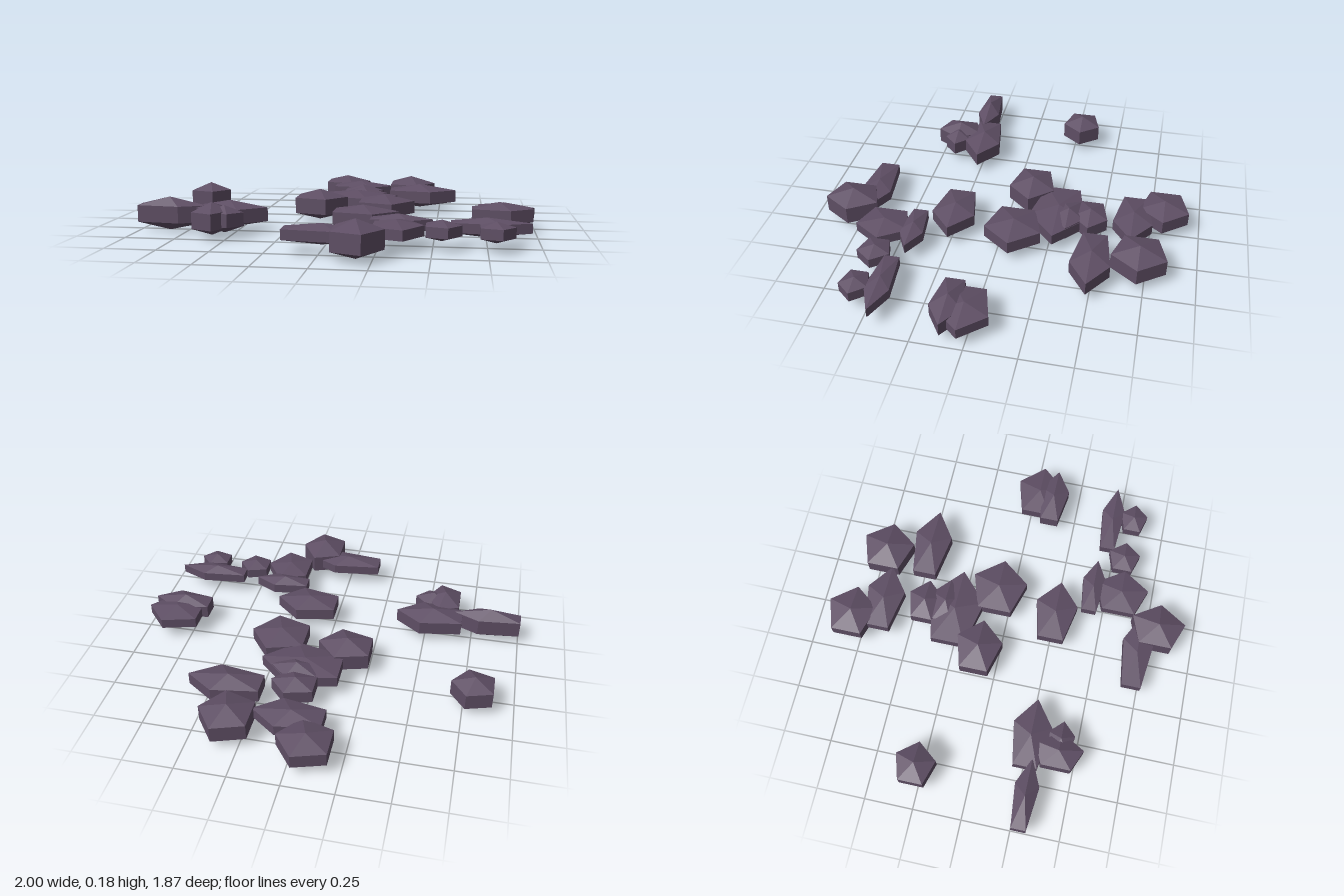
import * as THREE from 'three';

const stone = new THREE.MeshStandardMaterial({ color: 0x5e4e64, flatShading: true });
stone.name = 'duskyStone';

// Five-sided stone: two pentagon rings between shallow points, tip towards +x
const rockShape = new THREE.SphereGeometry(1, 5, 3);
rockShape.rotateY(Math.PI);

const MID_HEIGHT = 0.095;
const RING = Math.sin(Math.PI / 3); // ring radius of the unit stone
const BACK = Math.cos(Math.PI / 5); // centre to flat side
const SIDE = Math.sin(Math.PI * 2 / 5); // centre to widest corner

// flat side x, tip x, centre z, half width in z, half height
const ROCKS = [
  // back cluster
  [-0.19, 0.067, -0.81, 0.127, 0.068],
  [-0.126, 0.222, -0.66, 0.1, 0.055],
  [0.211, 0.468, -0.714, 0.136, 0.082],
  [0.222, 0.596, -0.487, 0.099, 0.066],
  // middle cluster
  [-0.035, 0.184, -0.441, 0.091, 0.065],
  [-0.131, 0.275, -0.275, 0.144, 0.056],
  [-0.024, 0.211, -0.332, 0.08, 0.066],
  [-0.254, 0.019, -0.107, 0.12, 0.082],
  [0.094, 0.382, -0.072, 0.144, 0.065],
  [0, 0.324, 0.251, 0.11, 0.06],
  // right-hand stones (-x)
  [-0.89, -0.682, -0.281, 0.102, 0.082],
  [-0.692, -0.34, 0.257, 0.099, 0.07],
  [-1, -0.645, 0.289, 0.061, 0.085],
  [-0.666, -0.487, 0.409, 0.123, 0.082],
  [-0.6, -0.425, 0.409, 0.068, 0.068],
  // left-hand pair (+x)
  [0.714, 0.997, 0.029, 0.123, 0.052],
  [0.682, 0.987, 0.11, 0.078, 0.066],
  // front cluster
  [0.2, 0.495, 0.422, 0.061, 0.05],
  [0.58, 0.955, 0.455, 0.061, 0.047],
  [0.227, 0.463, 0.575, 0.139, 0.05],
  [0.468, 0.634, 0.556, 0.083, 0.05],
  [0.714, 0.874, 0.57, 0.072, 0.05],
  [-0.168, 0.238, 0.709, 0.08, 0.049],
  [0.072, 0.302, 0.794, 0.139, 0.09],
];

export function createModel() {
  const group = new THREE.Group();
  group.name = 'scatteredStones';
  ROCKS.forEach(([flat, tip, z, halfWidth, halfHeight], i) => {
    const radius = (tip - flat) / (1 + BACK);
    const rock = new THREE.Mesh(rockShape, stone);
    rock.name = `stone${i + 1}`;
    rock.scale.set(radius / RING, halfHeight, halfWidth / SIDE / RING);
    rock.position.set(tip - radius, MID_HEIGHT, z);
    group.add(rock);
  });
  return group;
}
